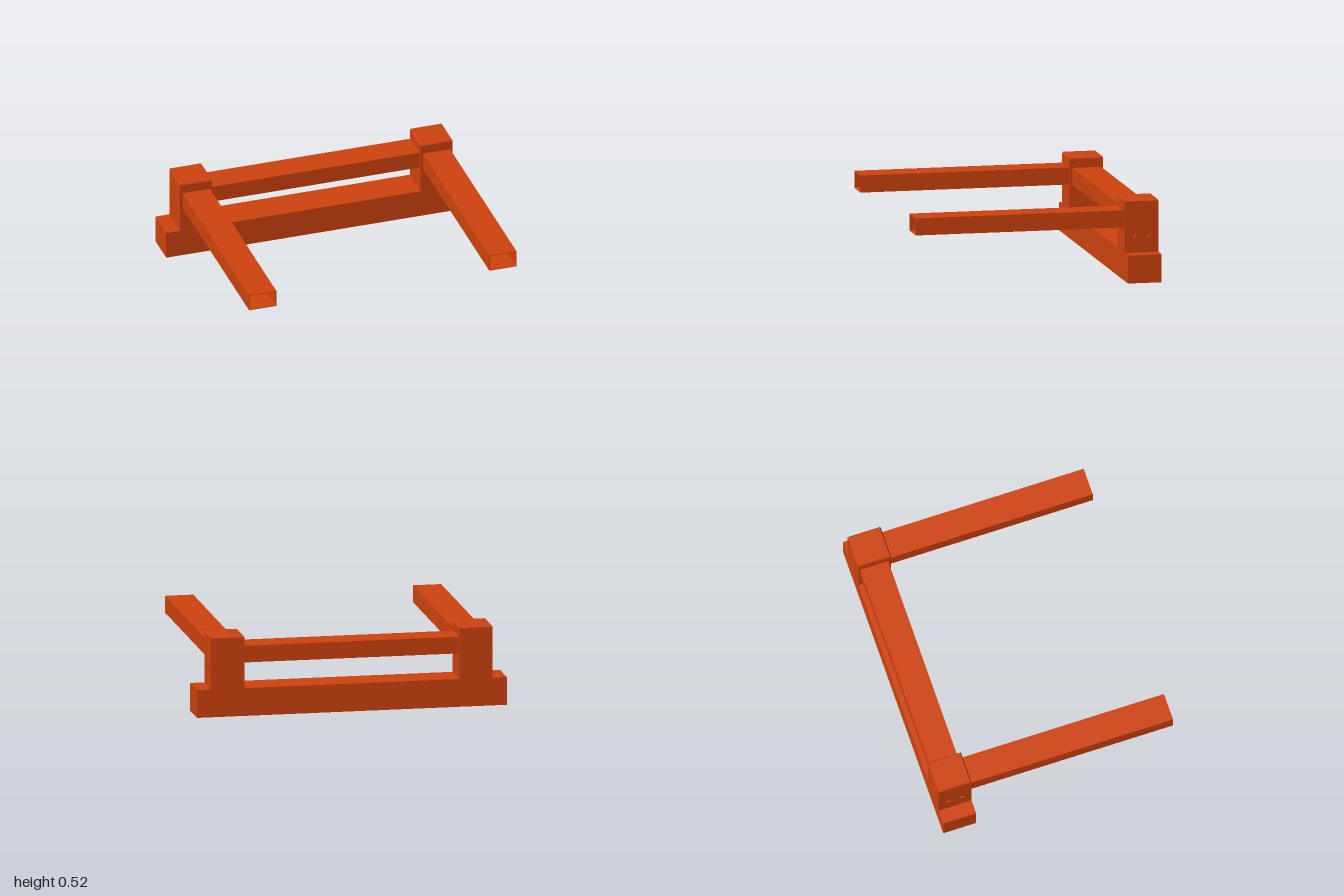
import * as THREE from 'three';

const Z_BACK = -0.785, Z_FRONT = -0.566;
const DEPTH = Z_FRONT - Z_BACK, Z_MID = (Z_FRONT + Z_BACK) / 2;

function rect(path, x0, y0, x1, y1) {
  path.moveTo(x0, y0);
  path.lineTo(x1, y0);
  path.lineTo(x1, y1);
  path.lineTo(x0, y1);
  path.closePath();
  return path;
}

export function createModel() {
  const orange = new THREE.MeshStandardMaterial({ color: 0xd0430e });
  orange.name = 'paintedOrange';
  const model = new THREE.Group();
  model.name = 'frame';

  function add(parent, name, geometry, x, y, z) {
    const mesh = new THREE.Mesh(geometry, orange);
    mesh.name = name;
    mesh.position.set(x, y, z);
    parent.add(mesh);
    return mesh;
  }
  const box = (w, h, d) => new THREE.BoxGeometry(w, h, d);

  // Base beam and the thinner rail between the posts
  add(model, 'baseBeam', box(2, 0.18, DEPTH), 0, 0.09, Z_MID);
  add(model, 'crossRail', box(1.4, 0.108, 0.185), 0, 0.397, -0.679);

  const x0 = 0.694, x1 = 0.908, width = x1 - x0, xMid = (x0 + x1) / 2;
  const bodyTop = 0.51, plate = 0.04;

  for (const side of [-1, 1]) {
    const post = new THREE.Group();
    post.name = side > 0 ? 'leftPost' : 'rightPost';
    model.add(post);

    // Post core
    const bodyHeight = bodyTop - 0.18;
    add(post, 'postCore', box(width - plate, bodyHeight, DEPTH),
      side * (xMid - plate / 2), 0.18 + bodyHeight / 2, Z_MID);

    // Outer plate with two square bolt holes; shape x runs along -z
    const shape = rect(new THREE.Shape(), -Z_FRONT, 0.18, -Z_BACK, bodyTop);
    for (const z of [0.628, 0.718]) {
      shape.holes.push(rect(new THREE.Path(), z - 0.014, 0.281, z + 0.014, 0.309));
    }
    const plateGeometry = new THREE.ExtrudeGeometry(shape, { depth: plate, bevelEnabled: false });
    plateGeometry.rotateY(Math.PI / 2);
    add(post, 'outerPlate', plateGeometry, side > 0 ? x1 - plate : -x1, 0, 0);

    // Cap with its upper edge chamfered
    const cap = box(width, 0.01, DEPTH);
    const p = cap.attributes.position;
    for (let i = 0; i < p.count; i++) {
      if (p.getY(i) > 0) {
        p.setX(i, p.getX(i) - Math.sign(p.getX(i)) * 0.007);
        p.setZ(i, p.getZ(i) - Math.sign(p.getZ(i)) * 0.007);
      }
    }
    cap.computeVertexNormals();
    add(post, 'postCap', cap, side * xMid, bodyTop + 0.005, Z_MID);

    // Hollow arm, open at the front
    const tube = rect(new THREE.Shape(), -0.0905, -0.055, 0.0905, 0.055);
    tube.holes.push(rect(new THREE.Path(), -0.0865, -0.051, 0.0865, 0.051));
    const arm = new THREE.ExtrudeGeometry(tube, { depth: 0.785 - Z_FRONT, bevelEnabled: false });
    add(model, side > 0 ? 'leftArm' : 'rightArm', arm, side * 0.8, 0.397, Z_FRONT);
  }
  return model;
}
